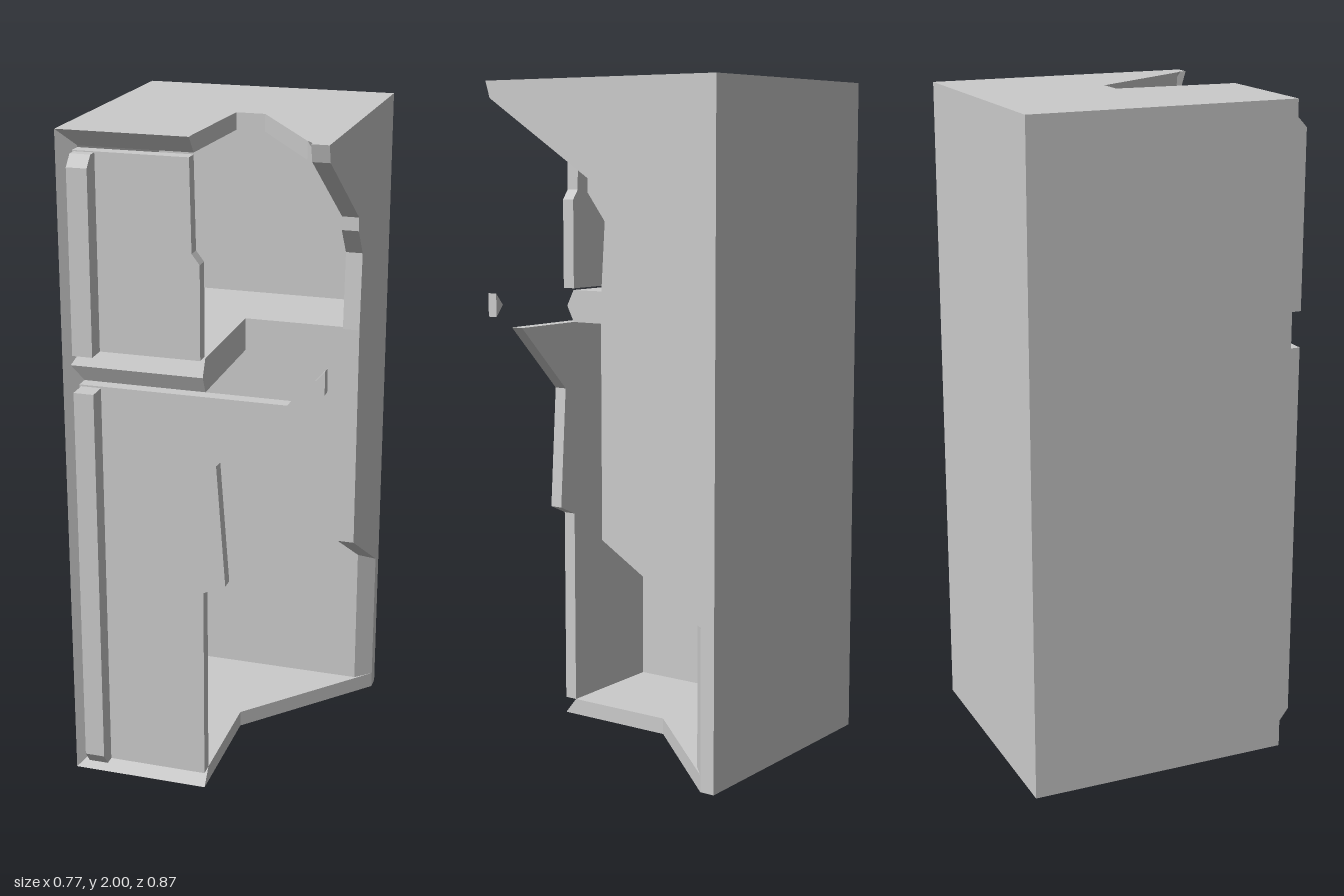
import * as THREE from 'three';

const material = new THREE.MeshStandardMaterial({ color: 0xcccccc, flatShading: true });

function extrude(points, depth) {
  const shape = new THREE.Shape(points.map(([a, b]) => new THREE.Vector2(a, b)));
  return new THREE.ExtrudeGeometry(shape, { depth, bevelEnabled: false });
}

// Horizontal slab: outline in [x, z], from y0 to y1
function planSlab(points, y0, y1) {
  return extrude(points.map(([x, z]) => [x, -z]), y1 - y0).rotateX(-Math.PI / 2).translate(0, y0, 0);
}

// Upright slab facing sideways: outline in [z, y], from x0 to x1
function sideSlab(points, x0, x1) {
  return extrude(points.map(([z, y]) => [-z, y]), x1 - x0).rotateY(Math.PI / 2).translate(x0, 0, 0);
}

// Upright slab facing forwards: outline in [x, y], from z0 to z1
function frontSlab(points, z0, z1) {
  return extrude(points, z1 - z0).translate(0, 0, z0);
}

// Slopes the front rim of a slab back to z = 0.335 at height y
function slopeRim(geometry, y) {
  const p = geometry.attributes.position;
  for (let i = 0; i < p.count; i++) {
    if (Math.abs(p.getY(i) - y) < 1e-4 && p.getZ(i) > 0.335) p.setZ(i, 0.335);
  }
  geometry.computeVertexNormals();
  return geometry;
}

export function createModel() {
  const group = new THREE.Group();
  const add = (name, geometry) => {
    const mesh = new THREE.Mesh(geometry, material);
    mesh.name = name;
    group.add(mesh);
  };

  // Cabinet: thick back, whole right wall, broken left wall
  add('backWallLower', planSlab(
    [[-0.385, -0.435], [0.385, -0.435], [0.385, -0.39], [0.335, -0.345], [-0.385, -0.345]], 0, 0.48));
  add('backWallUpper', planSlab(
    [[-0.385, -0.435], [0.385, -0.435], [0.385, -0.39], [0.335, -0.345], [-0.385, -0.345]], 0.48, 2));
  add('rightWall', planSlab(
    [[-0.385, -0.435], [-0.335, -0.435], [-0.335, 0.335], [-0.385, 0.375]], 0, 2));
  add('brokenLeftWall', sideSlab([
    [-0.435, 2], [0.375, 2], [0.36, 1.95], [0, 1.72], [0, 1.68], [-0.06, 1.6],
    [-0.045, 1.37], [-0.045, 0.685], [-0.385, 0.48], [-0.435, 0.48],
  ], 0.335, 0.385));

  // Roof, floor and divider, each with a missing front corner
  add('brokenRoof', slopeRim(planSlab([
    [-0.385, -0.435], [0.385, -0.435], [0.385, 0.375], [0.35, 0.375], [0.315, 0.335],
    [0.105, 0], [0.02, 0], [0, 0.335], [0, 0.375], [-0.385, 0.375],
  ], 1.95, 2), 1.95));
  add('brokenFloor', slopeRim(planSlab([
    [-0.385, -0.435], [0.385, -0.435], [0.385, -0.39], [0.033, -0.01], [0.033, 0.375], [-0.385, 0.375],
  ], 0, 0.05), 0.05));
  add('divider', planSlab([
    [-0.335, -0.36], [0.335, -0.36], [0.335, -0.065], [0.03, -0.065], [0.03, 0.335], [-0.335, 0.335],
  ], 1.27, 1.37));
  add('dividerRidge', sideSlab([[0.335, 1.27], [0.36, 1.32], [0.335, 1.37]], -0.375, 0.03));

  // Broken doors
  add('freezerDoor', frontSlab([
    [-0.335, 1.375], [0.028, 1.375], [0.028, 1.65], [0.005, 1.68], [0, 1.945], [-0.335, 1.945],
  ], 0.335, 0.375));
  add('fridgeDoor', frontSlab([
    [-0.335, 0.05], [0.033, 0.05], [0.033, 0.66], [0.1, 0.69], [0.073, 1.065], [0.28, 1.27], [-0.335, 1.27],
  ], 0.335, 0.375));

  // Handles with one sloped end each
  add('freezerHandle', sideSlab(
    [[0.375, 1.375], [0.435, 1.375], [0.435, 1.91], [0.405, 1.942], [0.375, 1.942]], -0.33, -0.27));
  add('fridgeHandle', sideSlab(
    [[0.375, 0.05], [0.405, 0.05], [0.435, 0.09], [0.435, 1.265], [0.375, 1.265]], -0.33, -0.27));

  // Loose chip of the left front rim
  add('rimChip', frontSlab([[0.355, 1.345], [0.385, 1.31], [0.385, 1.38]], 0.345, 0.375));

  return group;
}
